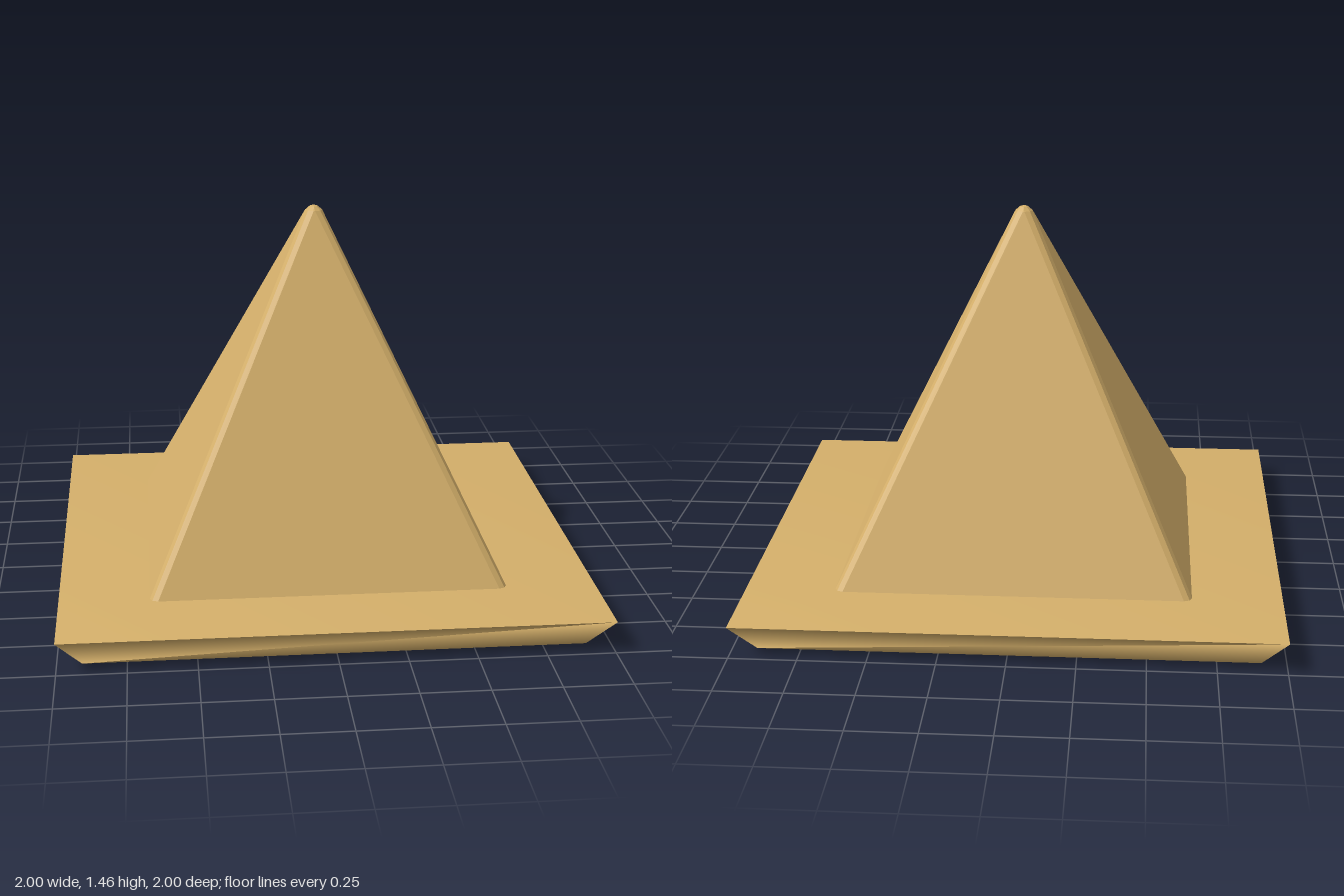
import * as THREE from 'three';
import { mergeVertices } from 'three/addons/utils/BufferGeometryUtils.js';

const material = (flatShading) => new THREE.MeshStandardMaterial({ color: 0xd4af6a, flatShading });

// Square slab whose underside is smaller than its top, softly shaded
function slabGeometry(topHalf, bottomHalf, height) {
  const box = new THREE.BoxGeometry(2, height, 2).translate(0, height / 2, 0);
  box.deleteAttribute('normal');
  box.deleteAttribute('uv');
  const geo = mergeVertices(box);
  const pos = geo.attributes.position;
  for (let i = 0; i < pos.count; i++) {
    const s = pos.getY(i) > height / 2 ? topHalf : bottomHalf;
    pos.setX(i, pos.getX(i) * s);
    pos.setZ(i, pos.getZ(i) * s);
  }
  geo.computeVertexNormals();
  return geo;
}

// Square cross-section with two-facet bevelled corners
function ring(half, y, bevel) {
  const c = Math.min(bevel, half);
  const m = half - c * 0.3;
  const corner = [[half, half - c], [m, m], [half - c, half]];
  const points = [];
  for (let k = 0; k < 4; k++) {
    for (let [x, z] of corner) {
      for (let r = 0; r < k; r++) [x, z] = [-z, x];
      points.push([x, y, z]);
    }
  }
  return points;
}

// Pyramid from stacked cross-sections, closed by a blunt tip
function pyramidGeometry(levels, tipY, bevel) {
  const rings = levels.map(([half, y]) => ring(half, y, bevel));
  const n = rings[0].length;
  const tip = [0, tipY, 0];
  const v = [];
  rings.forEach((low, i) => {
    const high = rings[i + 1];
    for (let j = 0; j < n; j++) {
      const k = (j + 1) % n;
      if (high) v.push(...low[j], ...high[j], ...low[k], ...low[k], ...high[j], ...high[k]);
      else v.push(...low[j], ...tip, ...low[k]);
    }
  });
  const geo = new THREE.BufferGeometry();
  geo.setAttribute('position', new THREE.Float32BufferAttribute(v, 3));
  geo.computeVertexNormals();
  return geo;
}

export function createModel() {
  const model = new THREE.Group();
  model.name = 'pyramidOnBase';

  const base = new THREE.Mesh(slabGeometry(1, 0.91, 0.12), material(false));
  base.name = 'base';

  const levels = [[0.665, 0.12], [0.033, 1.435], [0.016, 1.45]];
  const pyramid = new THREE.Mesh(pyramidGeometry(levels, 1.455, 0.03), material(true));
  pyramid.name = 'pyramid';

  model.add(base, pyramid);
  return model;
}
